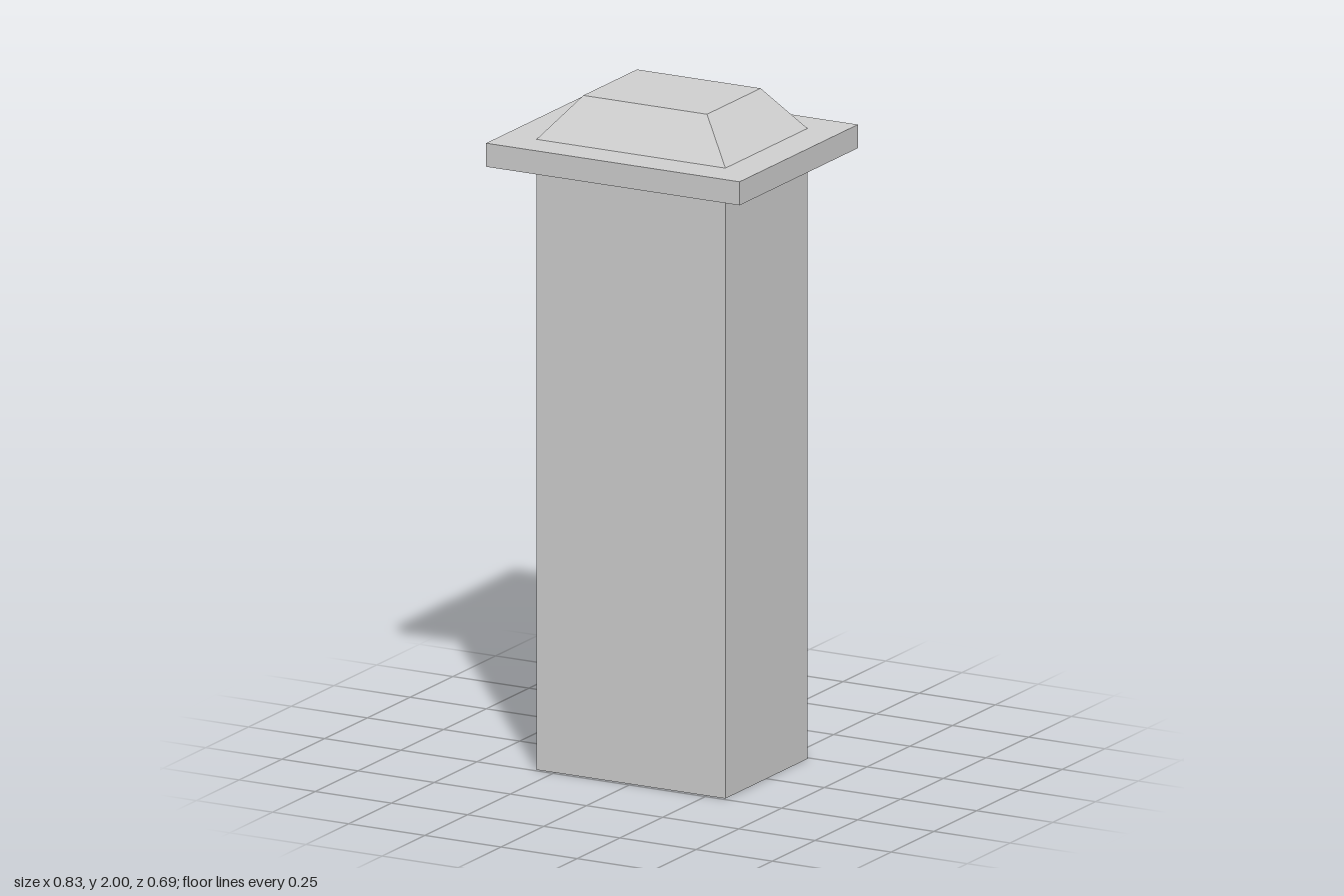
import * as THREE from 'three';

const stone = new THREE.MeshStandardMaterial({ color: 0xd2d2d2, side: THREE.DoubleSide });
stone.name = 'paleGrey';

// Box standing between heights y0 and y1, with half extents hx and hz
function block(name, hx, hz, y0, y1) {
  const geometry = new THREE.BoxGeometry(hx * 2, y1 - y0, hz * 2);
  geometry.translate(0, (y0 + y1) / 2, 0);
  const mesh = new THREE.Mesh(geometry, stone);
  mesh.name = name;
  return mesh;
}

export function createModel() {
  const model = new THREE.Group();
  model.name = 'pillar';

  // Hollow shaft: four walls only, open at the bottom
  const shaft = block('shaft', 0.31, 0.24, 0, 1.805);
  const index = Array.from(shaft.geometry.index.array);
  shaft.geometry.setIndex([...index.slice(0, 12), ...index.slice(24)]);
  shaft.geometry.clearGroups();

  // Overhanging slab
  const slab = block('capSlab', 0.416, 0.346, 1.805, 1.875);

  // Bevelled top: pull the upper corners inward
  const top = block('bevelledTop', 0.31, 0.24, 1.875, 2);
  const p = top.geometry.attributes.position;
  for (let i = 0; i < p.count; i++) {
    if (p.getY(i) > 1.95) {
      p.setX(i, Math.sign(p.getX(i)) * 0.203);
      p.setZ(i, Math.sign(p.getZ(i)) * 0.157);
    }
  }
  top.geometry.computeVertexNormals();

  model.add(shaft, slab, top);
  return model;
}
